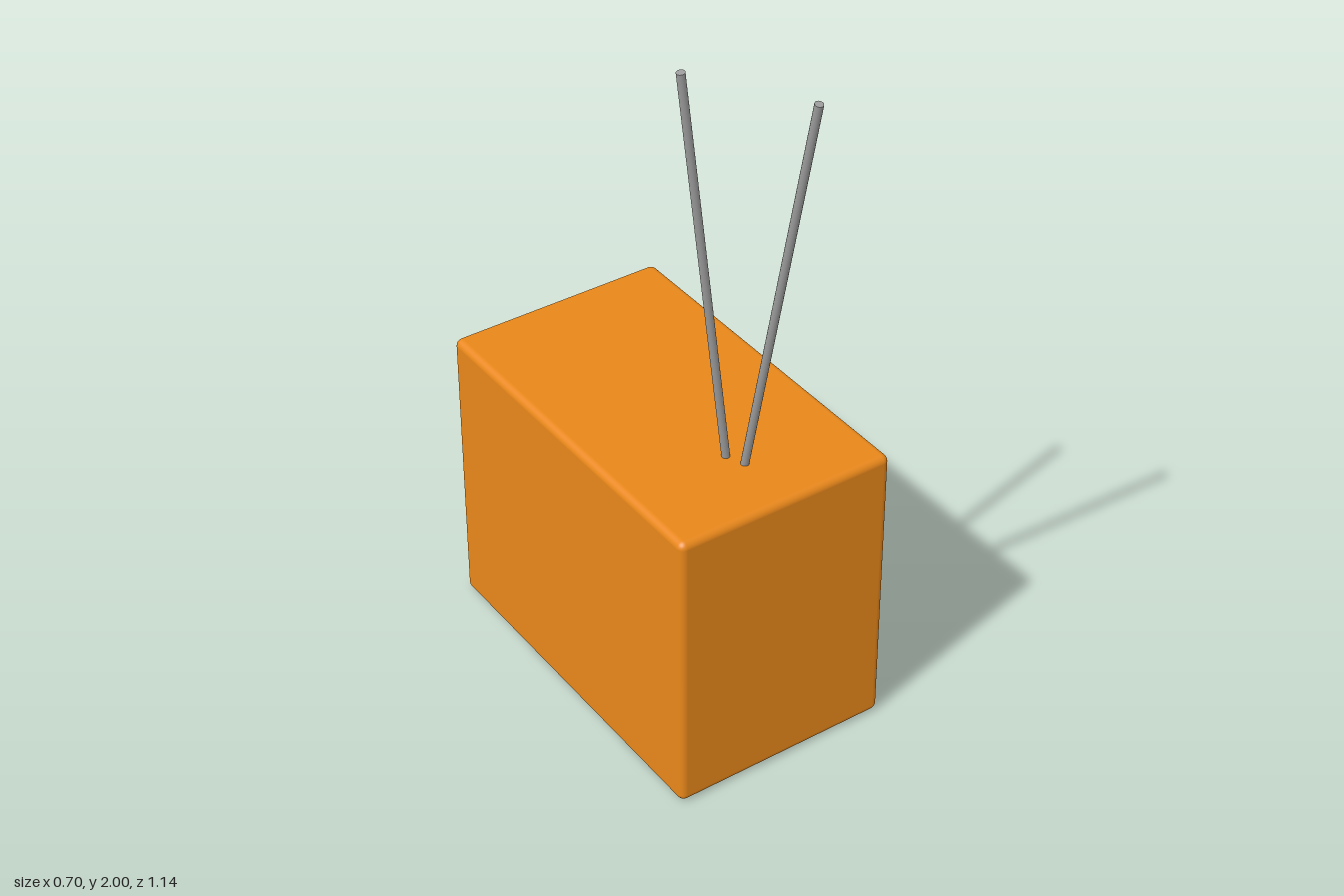
import * as THREE from 'three';
import { RoundedBoxGeometry } from 'three/addons/geometries/RoundedBoxGeometry.js';
import { toCreasedNormals } from 'three/addons/utils/BufferGeometryUtils.js';

const material = (color) => new THREE.MeshStandardMaterial({ color });

export function createModel() {
  const model = new THREE.Group();
  const orange = material(0xe8871a);
  const grey = material(0x9c9c9c);
  const dark = material(0x444444);

  function add(name, geometry, mat, x, y, z) {
    const mesh = new THREE.Mesh(geometry, mat);
    mesh.name = name;
    mesh.position.set(x, y, z);
    model.add(mesh);
    return mesh;
  }

  // Cabinet with softly rounded edges
  add('cabinet', new RoundedBoxGeometry(0.63, 0.84, 1.05, 4, 0.02), orange, -0.035, 0.42, -0.045);

  // Slightly tilted control panel on the +x side
  const panel = add('controlPanel', new RoundedBoxGeometry(0.08, 0.632, 0.207, 4, 0.02), grey, 0.268, 0.418, 0.32);
  panel.rotation.x = 0.035;

  // Round screen: profiles turned about an axis pointing to +x
  function turned(name, points, mat) {
    const profile = points.map(([r, h]) => new THREE.Vector2(r, h));
    const geometry = toCreasedNormals(new THREE.LatheGeometry(profile, 64), 0.3);
    geometry.rotateZ(-Math.PI / 2);
    add(name, geometry, mat, 0.28, 0.423, -0.176);
  }
  turned('screenBezel', [[0.347, -0.01], [0.347, 0.02], [0.243, 0.06], [0.243, 0.015]], grey);

  // Shallow dome of glass set inside the bezel
  const dome = [];
  for (let i = 0; i <= 10; i++) {
    const r = 0.243 * (1 - i / 10);
    dome.push([r, 0.067 - 0.5 * r * r]);
  }
  turned('screenGlass', dome, dark);

  // Antenna rods leaning away from the top of the cabinet
  function antenna(name, from, to) {
    const a = new THREE.Vector3(...from);
    const b = new THREE.Vector3(...to);
    const dir = b.clone().sub(a);
    const rod = add(name, new THREE.CylinderGeometry(0.011, 0.011, dir.length(), 16), grey, 0, 0, 0);
    rod.position.copy(a).add(b).multiplyScalar(0.5);
    rod.quaternion.setFromUnitVectors(new THREE.Vector3(0, 1, 0), dir.normalize());
  }
  antenna('sideAntenna', [-0.054, 0.82, 0.248], [-0.216, 1.998, 0.285]);
  antenna('frontAntenna', [-0.036, 0.82, 0.296], [-0.036, 1.988, 0.556]);

  return model;
}
